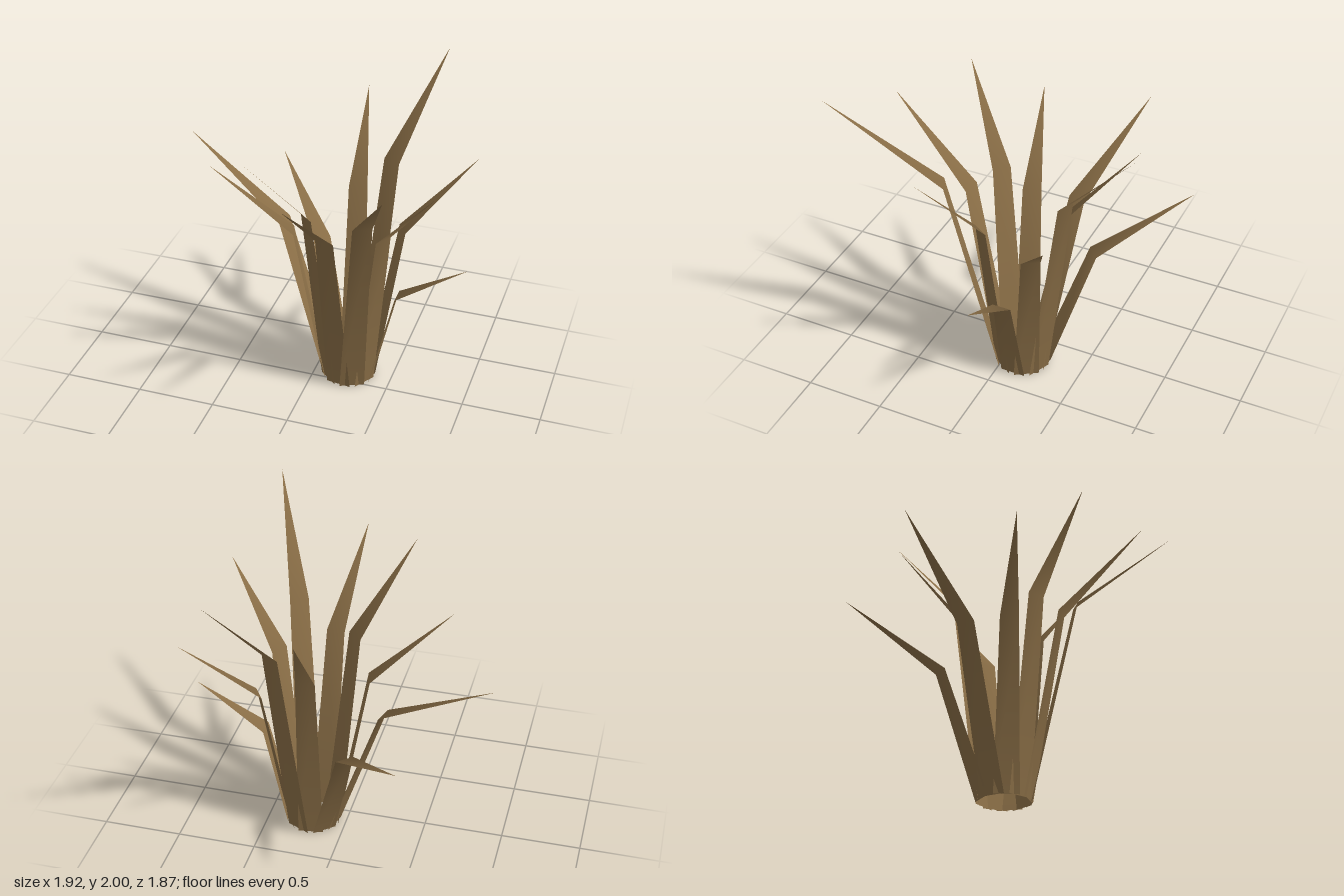
import * as THREE from 'three';

// tip radius and tip height of each blade, in even steps round the clump
const BLADES = [
  [0.745, 0.93], [0.728, 1.63], [1.143, 1.94], [0.92, 1.70], [0.784, 1.80], [0.859, 1.52],
  [1.226, 1.40], [1.096, 1.08], [0.697, 1.73], [0.911, 2.0], [0.814, 1.47],
];

// A flat leaf that rises from the base ring, bends outward at 70% height and ends in a point
function bladeGeometry(tipRadius, height) {
  const midRadius = tipRadius * 0.41, midY = height * 0.705;
  const geometry = new THREE.BufferGeometry();
  geometry.setAttribute('position', new THREE.Float32BufferAttribute([
    0.155, 0, 0.08, 0.155, 0, -0.08,
    midRadius, midY, 0.059, midRadius, midY, -0.059,
    tipRadius, height, 0,
  ], 3));
  geometry.setIndex([0, 1, 3, 0, 3, 2, 2, 3, 4]);
  geometry.computeVertexNormals();
  return geometry;
}

export function createModel() {
  const model = new THREE.Group();
  model.name = 'dryGrassClump';
  const dryBrown = new THREE.MeshStandardMaterial({ color: 0x8b6f47, side: THREE.DoubleSide });
  dryBrown.name = 'dryBrown';

  // Ring of blades, off centre because the leaves have unequal reach
  const clump = new THREE.Group();
  clump.name = 'blades';
  clump.position.set(0.215, 0, -0.11);
  BLADES.forEach(([tipRadius, height], i) => {
    const blade = new THREE.Mesh(bladeGeometry(tipRadius, height), dryBrown);
    blade.name = `blade${i + 1}`;
    blade.rotation.y = -i * Math.PI * 2 / BLADES.length;
    clump.add(blade);
  });
  model.add(clump);
  return model;
}
